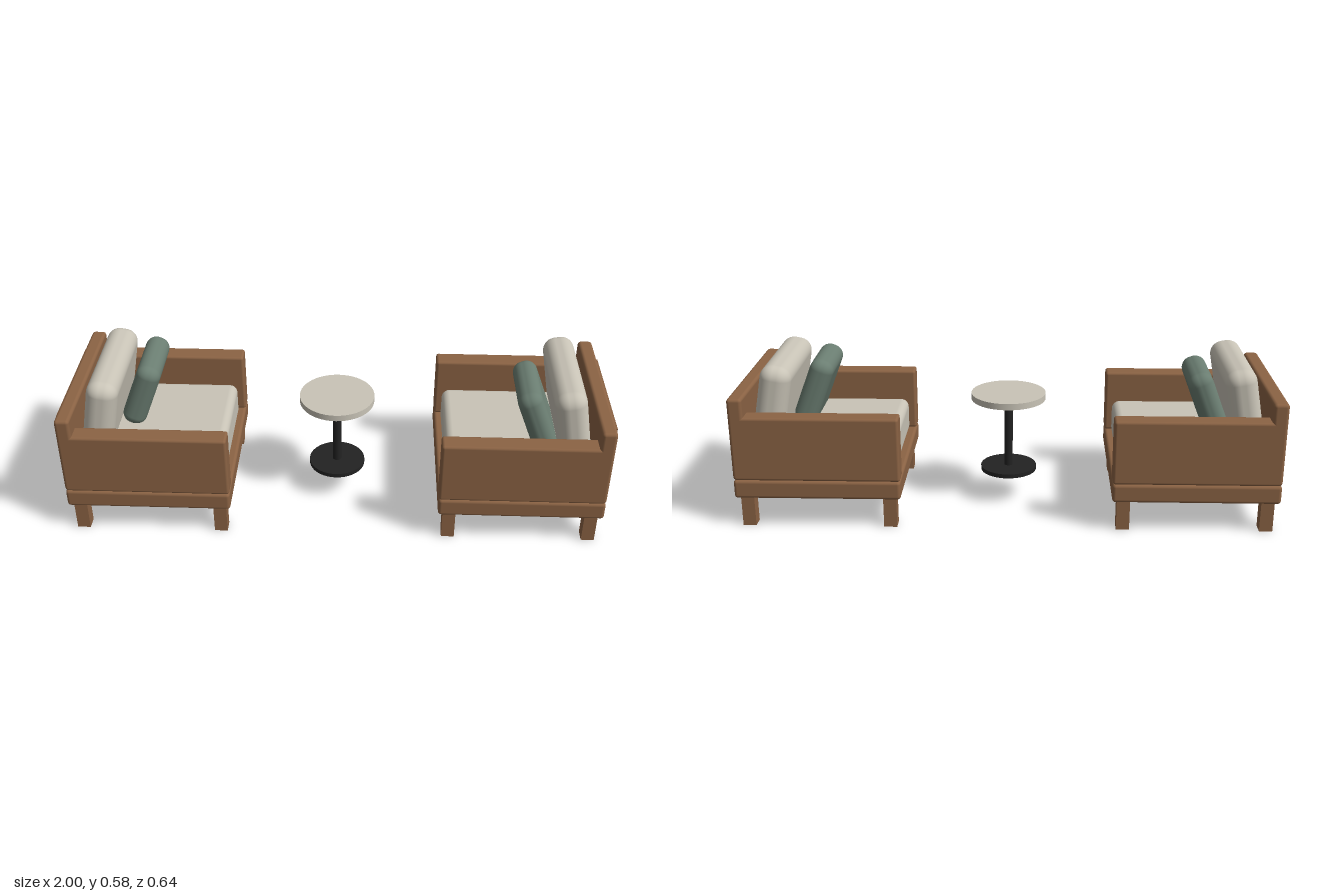
import * as THREE from 'three';
import { RoundedBoxGeometry } from 'three/addons/geometries/RoundedBoxGeometry.js';

function material(name, color) {
  const m = new THREE.MeshStandardMaterial({ color });
  m.name = name;
  return m;
}

export function createModel() {
  const wood = material('wood', 0x8b6344);
  const cream = material('cream', 0xc9c4b7);
  const sage = material('sage', 0x6b7e72);
  const black = material('black', 0x222222);

  const add = (parent, name, geometry, mat, x, y, z) => {
    const mesh = new THREE.Mesh(geometry, mat);
    mesh.name = name;
    mesh.position.set(x, y, z);
    parent.add(mesh);
    return mesh;
  };
  const rounded = (w, h, d, r, seg = 3) => new RoundedBoxGeometry(w, h, d, seg, r);

  // Armchair facing +x, with its back towards -x
  function armchair(name) {
    const chair = new THREE.Group();
    chair.name = name;
    add(chair, 'baseFrame', rounded(0.604, 0.07, 0.636, 0.012), wood, 0, 0.149, 0);
    add(chair, 'backPanel', rounded(0.054, 0.31, 0.636, 0.012), wood, -0.275, 0.339, 0);

    for (const s of [-1, 1]) {
      add(chair, 'armrest', rounded(0.6, 0.24, 0.072, 0.01), wood, 0.002, 0.304, s * 0.282);
      for (const x of [-0.259, 0.26]) {
        add(chair, 'leg', new THREE.BoxGeometry(0.048, 0.12, 0.048), wood, x, 0.06, s * 0.276);
      }
    }

    // Horizontal slats on the outside of the back
    for (let i = 0; i < 5; i++) {
      add(chair, 'backSlat', new THREE.BoxGeometry(0.02, 0.014, 0.466), wood,
        -0.3065, 0.227 + i * 0.0563, 0);
    }

    // Cushions; the upright ones tip towards the seat front
    add(chair, 'seatCushion', rounded(0.524, 0.136, 0.46, 0.03, 5), cream, 0.016, 0.252, 0);
    const back = add(chair, 'backCushion', rounded(0.115, 0.28, 0.46, 0.048, 6), cream,
      -0.168, 0.44, 0);
    back.rotation.z = -0.18;
    const pillow = add(chair, 'throwPillow', rounded(0.09, 0.26, 0.28, 0.04, 6), sage,
      -0.045, 0.434, -0.06);
    pillow.rotation.z = -0.37;
    return chair;
  }

  const model = new THREE.Group();
  model.name = 'loungeSet';

  // Two armchairs facing each other
  const rightChair = armchair('rightArmchair');
  rightChair.position.x = -0.6835;
  const leftChair = armchair('leftArmchair');
  leftChair.position.x = 0.6835;
  leftChair.rotation.y = Math.PI;
  model.add(rightChair, leftChair);

  // Round pedestal table between them
  const table = new THREE.Group();
  table.name = 'sideTable';
  add(table, 'tableTop', new THREE.CylinderGeometry(0.14, 0.14, 0.024, 48), cream, 0, 0.412, 0);
  add(table, 'tablePole', new THREE.CylinderGeometry(0.016, 0.016, 0.28, 20), black, 0, 0.262, 0);
  add(table, 'tableFoot', new THREE.CylinderGeometry(0.106, 0.106, 0.016, 40), black, 0, 0.122, 0);
  model.add(table);

  return model;
}
